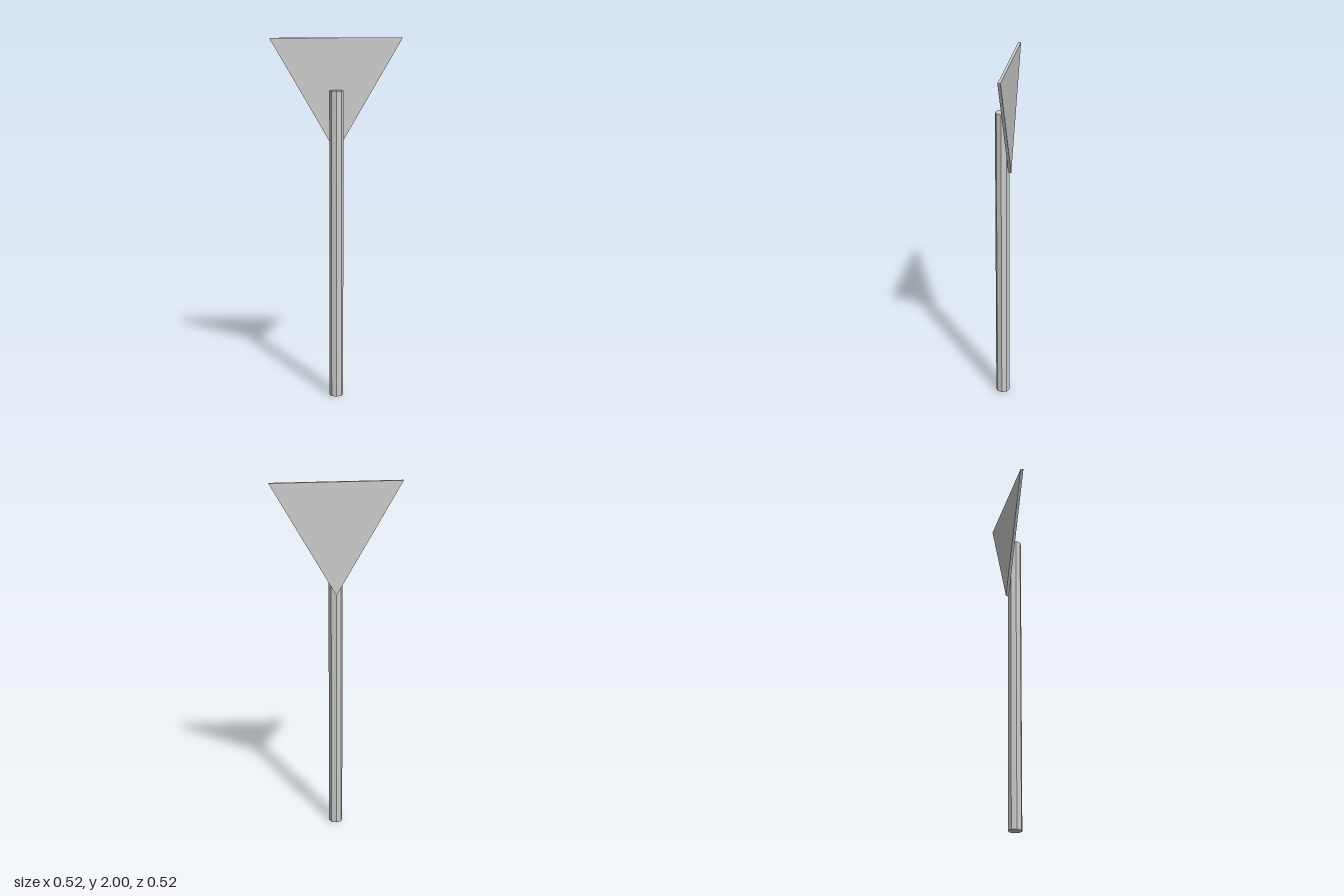
import * as THREE from 'three';

export function createModel() {
  const group = new THREE.Group();
  const material = new THREE.MeshStandardMaterial({ color: 0xcccccc, flatShading: true });

  // Eight-sided post, standing just in front of the plate
  const postHeight = 1.72;
  const post = new THREE.Mesh(new THREE.CylinderGeometry(0.0385, 0.0385, postHeight, 8), material);
  post.name = 'post';
  post.position.set(-0.03, postHeight / 2, 0.029);
  group.add(post);

  // Triangular sign plate, point down, turned 45 degrees
  const halfWidth = 0.36, top = 2, tip = 1.376, thickness = 0.0156;
  const triangle = new THREE.Shape([
    new THREE.Vector2(0, tip),
    new THREE.Vector2(halfWidth, top),
    new THREE.Vector2(-halfWidth, top),
  ]);
  const plateGeometry = new THREE.ExtrudeGeometry(triangle, { depth: thickness, bevelEnabled: false });
  plateGeometry.translate(0, 0, -thickness / 2);
  const plate = new THREE.Mesh(plateGeometry, material);
  plate.name = 'signPlate';
  plate.rotation.y = -Math.PI / 4;
  group.add(plate);

  return group;
}
